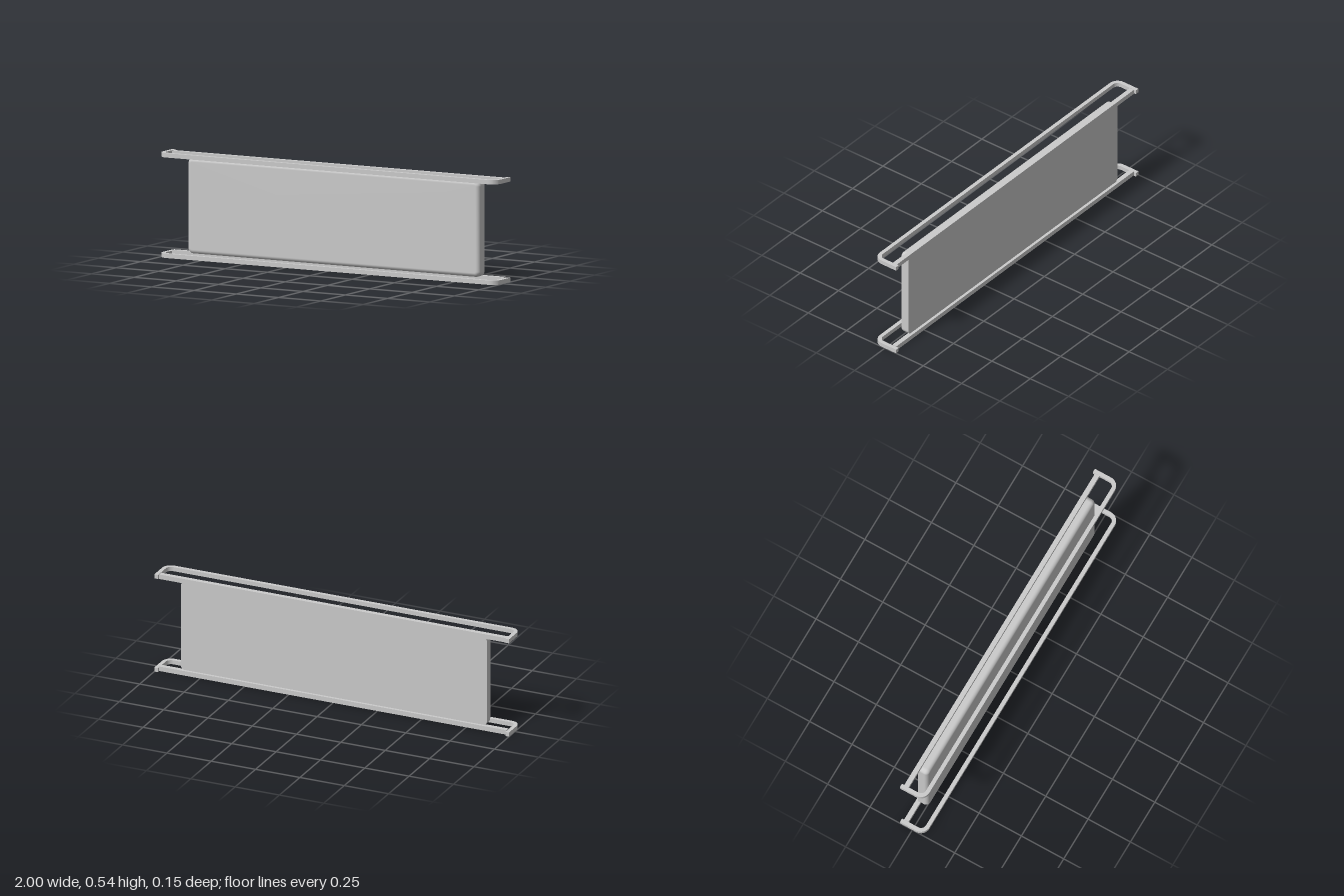
import * as THREE from 'three';

const grey = new THREE.MeshStandardMaterial({ color: 0xcccccc });

// Outline of a rounded rectangle, counter-clockwise, as [x, y] pairs
function roundedRect(halfW, halfH, r, steps = 6) {
  const pts = [];
  const corners = [[1, 1], [-1, 1], [-1, -1], [1, -1]];
  corners.forEach(([sx, sy], c) => {
    for (let i = 0; i <= steps; i++) {
      const a = (c + i / steps) * Math.PI / 2;
      pts.push([sx * (halfW - r) + r * Math.cos(a), sy * (halfH - r) + r * Math.sin(a)]);
    }
  });
  return pts;
}

// Cushion-edged panel: flat back, straight sides, rounded front edge
function panelGeometry(halfW, halfH, zBack, zFront, edge) {
  const sections = [[zBack, 0]];
  const bevel = 6;
  for (let i = 0; i <= bevel; i++) {
    const a = i / bevel * Math.PI / 2;
    sections.push([zFront - edge * (1 - Math.sin(a)), edge * (1 - Math.cos(a))]);
  }
  const pos = [], idx = [];
  const addRing = ([z, inset]) => {
    const ring = roundedRect(halfW - inset, halfH - inset, edge + 0.006 - inset);
    ring.forEach(([x, y]) => pos.push(x, y, z));
    return ring.length;
  };
  let n = 0;
  sections.forEach(s => { n = addRing(s); });
  for (let s = 0; s < sections.length - 1; s++) {
    for (let i = 0; i < n; i++) {
      const a = s * n + i, b = s * n + (i + 1) % n;
      idx.push(a, b, b + n, a, b + n, a + n);
    }
  }
  // Front cap shares the last ring; back cap has its own for a sharp edge
  const front = (sections.length - 1) * n;
  const frontMid = pos.length / 3;
  pos.push(0, 0, zFront);
  const back = pos.length / 3;
  addRing(sections[0]);
  const backMid = pos.length / 3;
  pos.push(0, 0, zBack);
  for (let i = 0; i < n; i++) {
    const j = (i + 1) % n;
    idx.push(frontMid, front + i, front + j, backMid, back + j, back + i);
  }
  const geo = new THREE.BufferGeometry();
  geo.setAttribute('position', new THREE.Float32BufferAttribute(pos, 3));
  geo.setIndex(idx);
  geo.computeVertexNormals();
  return geo;
}

// C-shaped guard rail, open at the back, drawn in plan and extruded upward
function railGeometry(height) {
  const t = 0.021, r = 0.05, zF = 0.073, zB = -0.073;
  const s = new THREE.Shape();
  s.moveTo(-1, zB);
  s.lineTo(-1 + t, zB);
  s.lineTo(-1 + t, zF - r);
  s.absarc(-1 + r, zF - r, r - t, Math.PI, Math.PI / 2, true);
  s.lineTo(1 - r, zF - t);
  s.absarc(1 - r, zF - r, r - t, Math.PI / 2, 0, true);
  s.lineTo(1 - t, zB);
  s.lineTo(1, zB);
  s.lineTo(1, zF - r);
  s.absarc(1 - r, zF - r, r, 0, Math.PI / 2, false);
  s.lineTo(-1 + r, zF);
  s.absarc(-1 + r, zF - r, r, Math.PI / 2, Math.PI, false);
  const geo = new THREE.ExtrudeGeometry(s, { depth: height, bevelEnabled: false, curveSegments: 8 });
  geo.rotateX(Math.PI / 2);
  geo.translate(0, height / 2, 0);
  return geo;
}

export function createModel() {
  const model = new THREE.Group();
  model.name = 'railedPanel';
  const add = (name, geo, x, y, z) => {
    const mesh = new THREE.Mesh(geo, grey);
    mesh.name = name;
    mesh.position.set(x, y, z);
    model.add(mesh);
  };

  const midY = 0.271, railH = 0.0225;
  add('panel', panelGeometry(0.863, 0.2485, -0.045, 0.0125, 0.022), 0, midY, 0);

  // Upper and lower rails, each with a straight bar behind
  const rail = railGeometry(railH);
  const bar = new THREE.BoxGeometry(1.96, 0.025, 0.026);
  for (const [label, side] of [['upper', 1], ['lower', -1]]) {
    add(label + 'Rail', rail, 0, midY + side * (midY - railH / 2), 0);
    add(label + 'BackBar', bar, 0, midY + side * 0.2565, -0.047);
  }
  return model;
}
